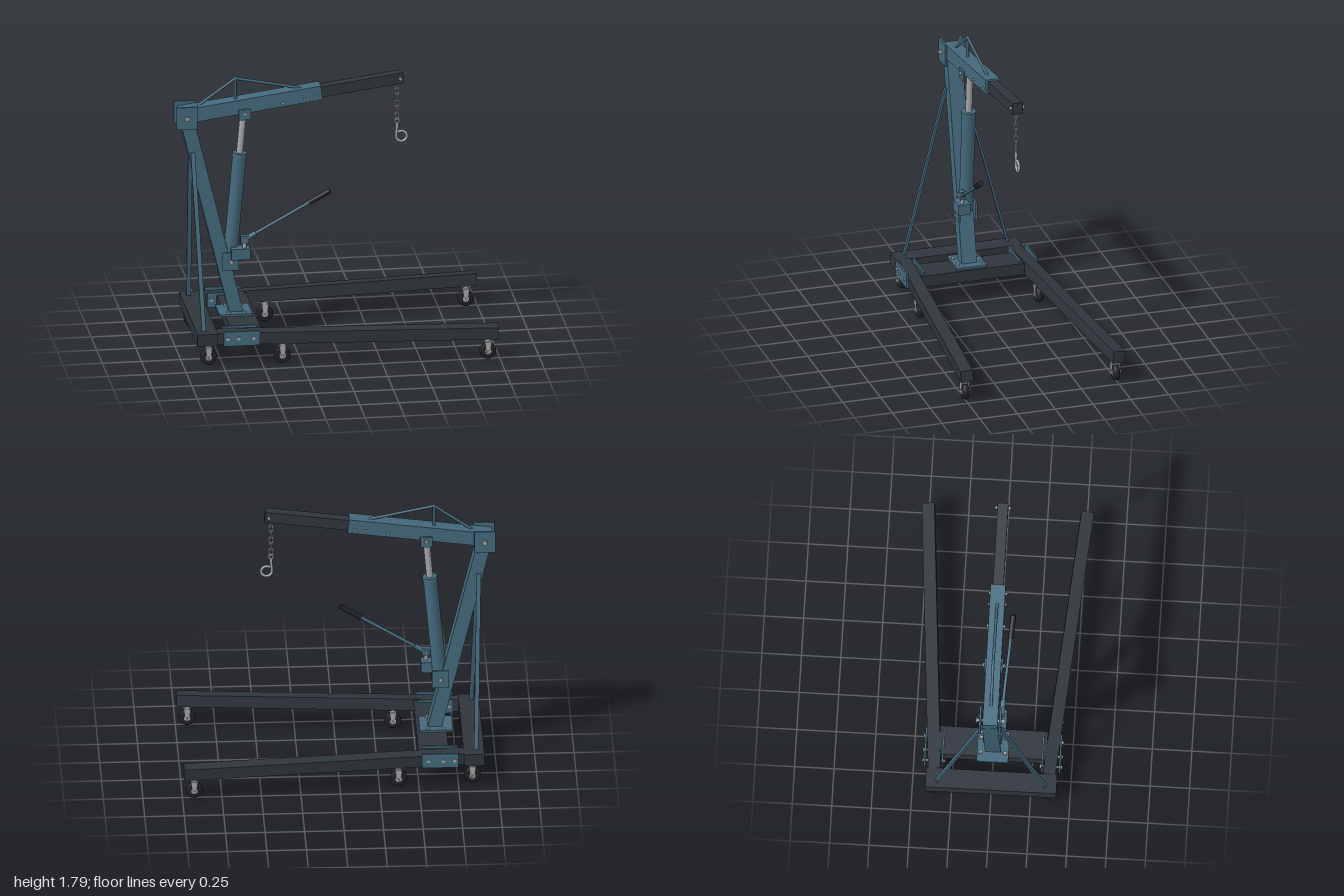
import * as THREE from 'three';

const material = (color) => new THREE.MeshStandardMaterial({ color });
const BLUE = material(0x44697c), DARK = material(0x2f363c), BLACK = material(0x1f2124), STEEL = material(0xa4a6a8);
const V = (x, y, z) => new THREE.Vector3(x, y, z);
const UP = V(0, 1, 0);

function add(parent, name, geometry, mat, x = 0, y = 0, z = 0) {
  const mesh = new THREE.Mesh(geometry, mat);
  mesh.name = name;
  mesh.position.set(x, y, z);
  parent.add(mesh);
  return mesh;
}

function box(parent, name, mat, w, h, d, x, y, z) {
  return add(parent, name, new THREE.BoxGeometry(w, h, d), mat, x, y, z);
}

// Places a geometry whose length runs along y so it spans from a to b
function span(parent, name, geometry, mat, a, b) {
  const mesh = add(parent, name, geometry, mat);
  mesh.position.copy(a).lerp(b, 0.5);
  mesh.quaternion.setFromUnitVectors(UP, b.clone().sub(a).normalize());
  return mesh;
}

function rod(parent, name, mat, r, a, b, sides = 20) {
  return span(parent, name, new THREE.CylinderGeometry(r, r, a.distanceTo(b), sides), mat, a, b);
}

function bar(parent, name, mat, w, d, a, b) {
  return span(parent, name, new THREE.BoxGeometry(w, a.distanceTo(b), d), mat, a, b);
}

// Pin or bolt running along z, with hexagonal heads
function pin(parent, name, mat, r, half, x, y, z = 0) {
  rod(parent, name, mat, r * 0.6, V(x, y, z - half), V(x, y, z + half), 16);
  for (const s of [-1, 1]) {
    rod(parent, name + 'Head', mat, r, V(x, y, z + s * (half - 0.012)), V(x, y, z + s * (half - 0.002)), 6);
  }
}

function caster(parent, x, z) {
  const g = new THREE.Group();
  g.name = 'caster';
  g.position.set(x, 0, z);
  parent.add(g);
  // Rounded tyre profile turned about the axle
  const profile = [[0.018, -0.019], [0.044, -0.019], [0.051, -0.013], [0.053, 0], [0.051, 0.013], [0.044, 0.019], [0.018, 0.019]];
  const tyre = add(g, 'tyre', new THREE.LatheGeometry(profile.map((p) => new THREE.Vector2(...p)), 28), BLACK, 0, 0.054, 0);
  tyre.rotation.x = Math.PI / 2;
  rod(g, 'hub', STEEL, 0.02, V(0, 0.054, -0.021), V(0, 0.054, 0.021));
  pin(g, 'axle', STEEL, 0.01, 0.038, 0, 0.054);
  box(g, 'mountingPlate', STEEL, 0.06, 0.008, 0.062, 0, 0.138, 0);
  rod(g, 'swivel', STEEL, 0.024, V(0, 0.118, 0), V(0, 0.138, 0));
  box(g, 'forkCrown', STEEL, 0.044, 0.008, 0.056, 0, 0.116, 0);
  for (const s of [-1, 1]) {
    const shape = new THREE.Shape();
    shape.moveTo(-0.022, 0.118);
    shape.lineTo(-0.013, 0.054);
    shape.absarc(0, 0.054, 0.013, Math.PI, Math.PI * 2);
    shape.lineTo(0.022, 0.118);
    const plate = new THREE.ExtrudeGeometry(shape, { depth: 0.005, bevelEnabled: false });
    add(g, 'forkPlate', plate, STEEL, 0, 0, s * 0.026 - 0.0025);
  }
}

function buildBase(parent) {
  const g = new THREE.Group();
  g.name = 'base';
  parent.add(g);
  box(g, 'rearBeam', DARK, 0.13, 0.08, 0.83, -0.85, 0.178, 0);
  box(g, 'mastBeam', DARK, 0.19, 0.078, 0.68, -0.595, 0.18, 0);
  box(g, 'mastFootPlate', BLUE, 0.21, 0.014, 0.2, -0.625, 0.226, 0);
  for (const s of [-1, 1]) {
    // Splayed leg
    bar(g, 'leg', DARK, 0.08, 0.08, V(-0.787, 0.182, s * 0.36), V(0.99, 0.182, s * 0.503));
    // Side plates bolted around the leg
    for (const z of [0.315, 0.427]) box(g, 'legBracketPlate', BLUE, 0.23, 0.096, 0.012, -0.635, 0.187, s * z);
    for (const x of [-0.725, -0.655, -0.56]) pin(g, 'legBolt', STEEL, 0.013, 0.072, x, 0.19, s * 0.371);
    for (const dx of [-0.05, 0.05]) {
      rod(g, 'footBolt', STEEL, 0.012, V(-0.62 + dx, 0.23, s * 0.078), V(-0.62 + dx, 0.245, s * 0.078), 6);
    }
    caster(g, -0.84, s * 0.368);
    caster(g, -0.372, s * 0.394);
    caster(g, 0.925, s * 0.498);
  }
}

function buildMast(parent) {
  const g = new THREE.Group();
  g.name = 'mast';
  parent.add(g);
  bar(g, 'mastTube', BLUE, 0.088, 0.1, V(-0.615, 0.225, 0), V(-0.925, 1.51, 0));
  for (const s of [-1, 1]) {
    box(g, 'headPlate', BLUE, 0.134, 0.148, 0.014, -0.933, 1.55, s * 0.064);
    bar(g, 'rearBrace', BLUE, 0.028, 0.014, V(-0.865, 0.215, s * 0.342), V(-0.895, 1.32, s * 0.056));
    box(g, 'ramLowerPlate', BLUE, 0.105, 0.12, 0.012, -0.652, 0.573, s * 0.055);
  }
  pin(g, 'boomPivot', STEEL, 0.018, 0.092, -0.933, 1.553);
  pin(g, 'ramLowerPin', STEEL, 0.016, 0.077, -0.65, 0.575);
}

function buildBoom(parent) {
  const g = new THREE.Group();
  g.name = 'boom';
  parent.add(g);
  const at = (x) => 1.555 + (x + 0.935) * 0.1343;
  bar(g, 'outerBoom', BLUE, 0.094, 0.096, V(-0.975, at(-0.975), 0), V(-0.07, at(-0.07), 0));
  bar(g, 'innerBoom', DARK, 0.07, 0.068, V(-0.15, at(-0.15), 0), V(0.455, at(0.455), 0));
  // Truss rods over the boom
  const peak = V(-0.615, 1.78, 0);
  rod(g, 'trussPost', BLUE, 0.009, V(-0.615, 1.63, 0), peak);
  rod(g, 'trussRodRear', BLUE, 0.009, V(-0.855, 1.61, 0), peak);
  rod(g, 'trussRodFront', BLUE, 0.009, peak, V(-0.195, 1.695, 0));
  add(g, 'trussJoint', new THREE.SphereGeometry(0.011, 14, 10), BLUE, peak.x, peak.y, 0);
  for (const x of [-0.32, -0.18, -0.11]) pin(g, 'boomBolt', STEEL, 0.01, 0.06, x, at(x) - 0.02);
  pin(g, 'tipBolt', STEEL, 0.012, 0.05, 0.432, at(0.432));
  for (const s of [-1, 1]) box(g, 'ramUpperPlate', BLUE, 0.076, 0.07, 0.012, -0.563, 1.552, s * 0.053);
  pin(g, 'ramUpperPin', STEEL, 0.014, 0.072, -0.563, 1.56);
}

function buildRam(parent) {
  const g = new THREE.Group();
  g.name = 'hydraulicRam';
  parent.add(g);
  const low = V(-0.65, 0.575, 0), high = V(-0.563, 1.56, 0);
  const point = (t) => low.clone().lerp(high, t);
  rod(g, 'ramBody', BLUE, 0.044, point(0.0), point(0.7), 32);
  rod(g, 'ramCollar', BLUE, 0.047, point(0.69), point(0.718), 32);
  rod(g, 'ramPiston', STEEL, 0.021, point(0.7), point(0.97), 24);
  rod(g, 'ramEye', STEEL, 0.026, V(high.x, high.y, -0.046), V(high.x, high.y, 0.046));
  // Hand pump beside the ram
  box(g, 'pumpBlock', BLUE, 0.12, 0.072, 0.08, -0.592, 0.625, 0.045);
  rod(g, 'pumpPlunger', STEEL, 0.013, V(-0.565, 0.655, 0.052), V(-0.565, 0.72, 0.052));
  box(g, 'handleSocket', BLUE, 0.052, 0.05, 0.036, -0.565, 0.718, 0.052);
  pin(g, 'handlePin', STEEL, 0.01, 0.03, -0.565, 0.72, 0.052);
  const start = V(-0.57, 0.712, 0.052), end = V(-0.025, 1.03, 0.094);
  const along = (t) => start.clone().lerp(end, t);
  rod(g, 'handleSleeve', BLUE, 0.016, along(0), along(0.14));
  rod(g, 'pumpHandle', BLUE, 0.01, along(0.05), along(0.8));
  rod(g, 'handleGrip', BLACK, 0.017, along(0.76), along(1));
}

function buildChain(parent) {
  const g = new THREE.Group();
  g.name = 'chainAndHook';
  parent.add(g);
  const x = 0.417;
  rod(g, 'chainLug', STEEL, 0.011, V(x, 1.695, 0), V(x, 1.72, 0));
  for (let i = 0; i < 6; i++) {
    const link = add(g, 'chainLink', new THREE.TorusGeometry(0.0135, 0.005, 8, 20), STEEL, x, 1.685 - i * 0.0415, 0);
    link.scale.y = 1.65;
    link.rotation.y = i % 2 ? 0 : Math.PI / 2;
  }
  // Hook: eye, shank, then a nearly full turn
  add(g, 'hookEye', new THREE.TorusGeometry(0.014, 0.006, 8, 20), STEEL, x, 1.443, 0);
  const path = [V(x, 1.43, 0), V(x - 0.001, 1.40, 0), V(0.413, 1.37, 0)];
  for (let a = 185; a <= 480; a += 29.5) {
    const t = THREE.MathUtils.degToRad(a);
    path.push(V(0.445 + 0.034 * Math.cos(t), 1.341 + 0.034 * Math.sin(t), 0));
  }
  add(g, 'hook', new THREE.TubeGeometry(new THREE.CatmullRomCurve3(path), 64, 0.009, 12), STEEL);
  const tip = path[path.length - 1];
  add(g, 'hookTip', new THREE.SphereGeometry(0.009, 12, 8), STEEL, tip.x, tip.y, 0);
}

export function createModel() {
  const model = new THREE.Group();
  model.name = 'engineHoist';
  buildBase(model);
  buildMast(model);
  buildBoom(model);
  buildRam(model);
  buildChain(model);
  return model;
}
